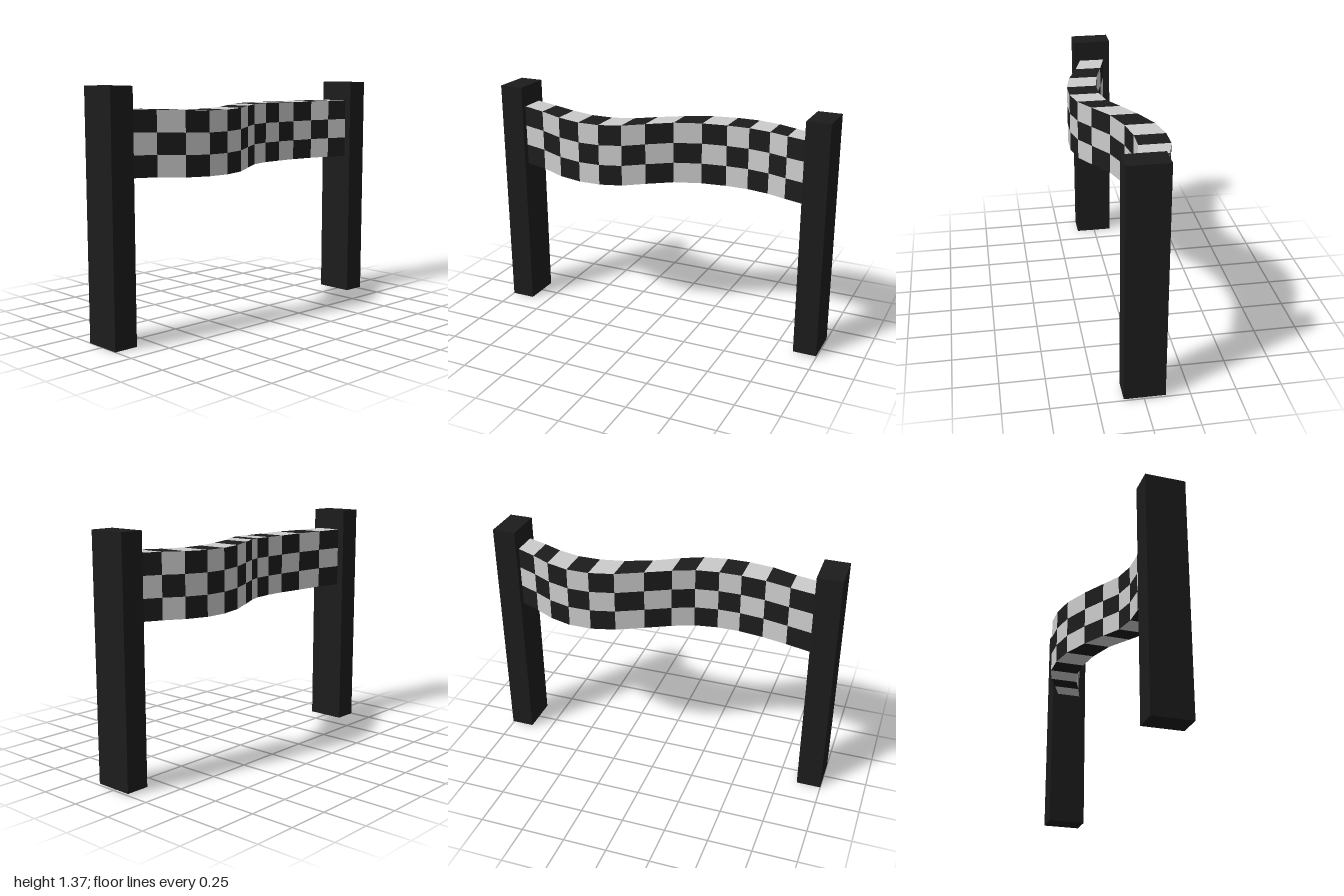
import * as THREE from 'three';

// Banner stations along x: [x, back z, front z, bottom y, top y]
const stations = [
  [-0.86, -0.07, 0.08, 0.89, 1.245], [-0.715, -0.03, 0.125, 0.888, 1.24],
  [-0.57, 0.015, 0.185, 0.88, 1.235], [-0.428, 0.04, 0.215, 0.877, 1.23],
  [-0.3, 0.04, 0.215, 0.877, 1.23], [-0.17, 0.015, 0.185, 0.88, 1.234],
  [-0.052, -0.045, 0.12, 0.887, 1.24], [0.085, -0.12, 0.035, 0.89, 1.243],
  [0.235, -0.19, -0.02, 0.888, 1.242], [0.375, -0.22, -0.045, 0.885, 1.24],
  [0.505, -0.22, -0.045, 0.885, 1.24], [0.635, -0.185, -0.015, 0.887, 1.242],
  [0.747, -0.13, 0.03, 0.889, 1.244], [0.865, -0.08, 0.07, 0.89, 1.245],
];
const ROWS = 3;

export function createModel() {
  const group = new THREE.Group();
  const dark = new THREE.MeshStandardMaterial({ color: 0x1b1c1b });
  const light = new THREE.MeshStandardMaterial({ color: 0xcccccc });

  // Posts
  const addPost = (name, x0, x1, y0, y1, z0, z1) => {
    const post = new THREE.Mesh(new THREE.BoxGeometry(x1 - x0, y1 - y0, z1 - z0), dark);
    post.position.set((x0 + x1) / 2, (y0 + y1) / 2, (z0 + z1) / 2);
    post.name = name;
    group.add(post);
  };
  addPost('rightPost', -1, -0.86, 0, 1.365, -0.11, 0.115);
  addPost('leftPost', 0.865, 1, 0.01, 1.36, -0.115, 0.11);

  // Wavy banner: checker cells sorted into dark and light squares
  const cells = [[], []];
  const point = (i, row, front) => {
    const [x, back, fore, low, high] = stations[i];
    return [x, low + ((high - low) * row) / ROWS, front ? fore : back];
  };
  const addQuad = (tone, a, b, c, d) => cells[tone % 2].push(...a, ...b, ...c, ...a, ...c, ...d);

  for (let i = 0; i < stations.length - 1; i++) {
    const n = i + 1;
    for (let r = 0; r < ROWS; r++) {
      addQuad(i + r, point(i, r, true), point(n, r, true), point(n, r + 1, true), point(i, r + 1, true));
      addQuad(i + r, point(n, r, false), point(i, r, false), point(i, r + 1, false), point(n, r + 1, false));
    }
    // Top and bottom edges
    addQuad(i + 1, point(i, ROWS, true), point(n, ROWS, true), point(n, ROWS, false), point(i, ROWS, false));
    addQuad(i + 1, point(i, 0, false), point(n, 0, false), point(n, 0, true), point(i, 0, true));
  }

  const banner = new THREE.Group();
  banner.name = 'banner';
  cells.forEach((positions, tone) => {
    const geometry = new THREE.BufferGeometry();
    geometry.setAttribute('position', new THREE.Float32BufferAttribute(positions, 3));
    geometry.computeVertexNormals();
    const mesh = new THREE.Mesh(geometry, tone ? light : dark);
    mesh.name = tone ? 'lightSquares' : 'darkSquares';
    banner.add(mesh);
  });
  group.add(banner);
  return group;
}
